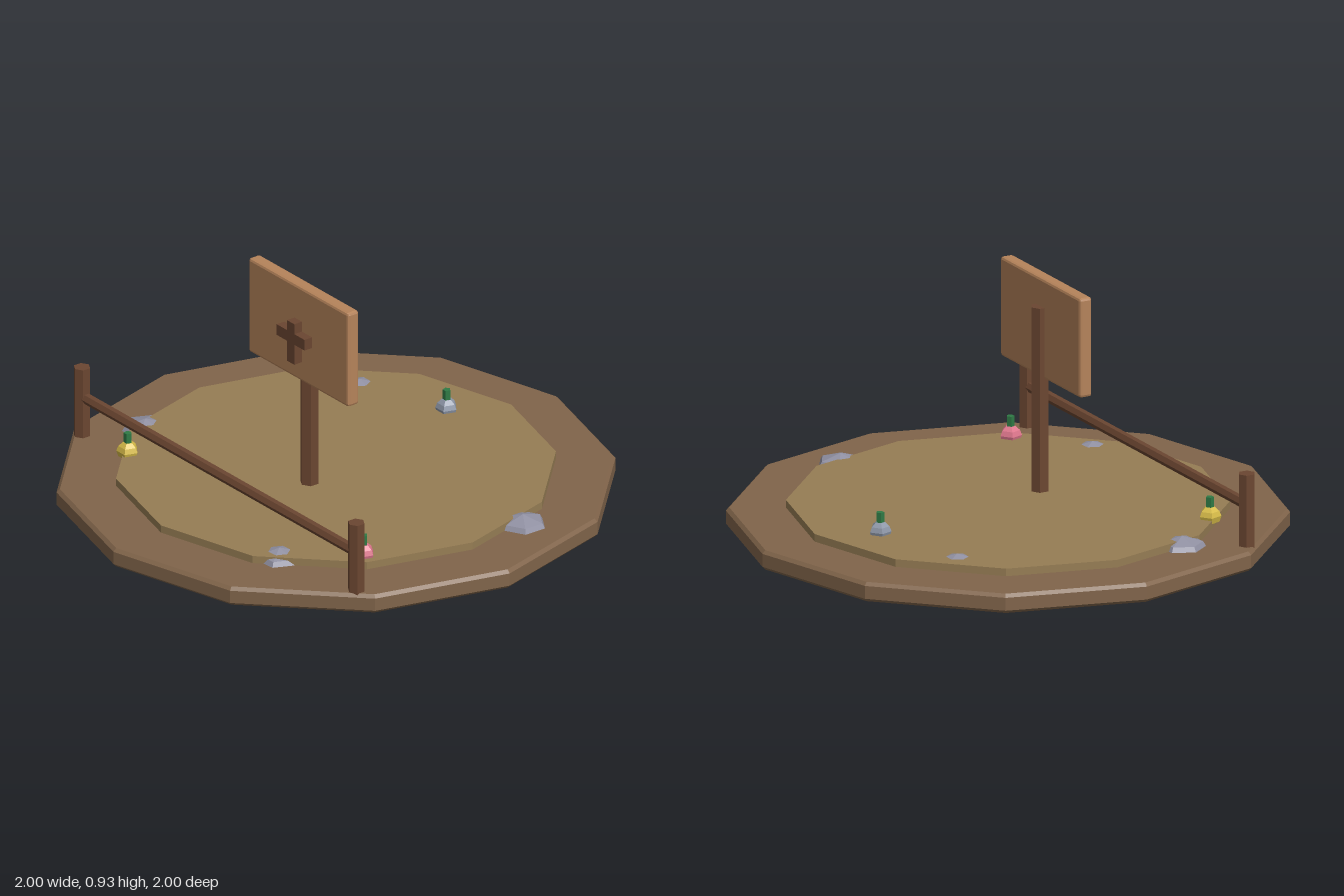
import * as THREE from 'three';
import { RoundedBoxGeometry } from 'three/addons/geometries/RoundedBoxGeometry.js';

const mat = (name, color) => {
  const m = new THREE.MeshStandardMaterial({ color });
  m.name = name;
  m.flatShading = true;
  return m;
};

export function createModel() {
  const group = new THREE.Group();
  const earth = mat('earth brown', 0x80644a);
  const sand = mat('dry grass', 0x967d54);
  const darkWood = mat('dark wood', 0x6b4631);
  const boardWood = mat('board wood', 0xb5835a);
  const stone = mat('stone grey', 0x9090a2);
  const silver = mat('silver bulb', 0x8e97a8);
  const yellow = mat('yellow bulb', 0xd6bb48);
  const pink = mat('pink bulb', 0xdd768c);
  const green = mat('stem green', 0x2f7a45);

  const add = (name, geometry, material, x = 0, y = 0, z = 0, parent = group) => {
    const mesh = new THREE.Mesh(geometry, material);
    mesh.name = name;
    mesh.position.set(x, y, z);
    parent.add(mesh);
    return mesh;
  };
  const lathe = (points, sides) =>
    new THREE.LatheGeometry(points.map(([r, y]) => new THREE.Vector2(r, y)), sides);

  // Twelve-sided ground with chamfered rim, and a raised inner plot
  add('groundSlab', lathe([[0, 0.04], [0.988, 0.04], [1, 0.052], [1, 0.1], [0.988, 0.112], [0, 0.112]], 12), earth);
  add('innerPlot', new THREE.CylinderGeometry(0.787, 0.787, 0.04, 12), sand, 0, 0.12, 0);

  // Sign: post, board and raised cross
  add('signPost', new THREE.CylinderGeometry(0.035, 0.035, 0.7, 6), darkWood, 0.05, 0.475, 0.158);
  add('signBoard', new RoundedBoxGeometry(0.575, 0.37, 0.05, 1, 0.01), boardWood, 0.05, 0.745, 0.184);
  const a = 0.021, b = 0.08;
  const cross = new THREE.Shape([
    [-a, -0.1], [a, -0.1], [a, -a], [b, -a], [b, a], [a, a],
    [a, 0.06], [-a, 0.06], [-a, a], [-b, a], [-b, -a], [-a, -a],
  ].map(([x, y]) => new THREE.Vector2(x, y)));
  add('signCross', new THREE.ExtrudeGeometry(cross, { depth: 0.045, bevelEnabled: false }), darkWood, 0.05, 0.737, 0.198);

  // Front fence
  for (const side of [-1, 1]) {
    add('fencePost', new THREE.CylinderGeometry(0.031, 0.031, 0.28, 6), darkWood, side * 0.79, 0.24, 0.525);
  }
  const rail = add('fenceRail', new THREE.CylinderGeometry(0.02, 0.02, 1.58, 6), darkWood, 0, 0.264, 0.525);
  rail.rotation.z = Math.PI / 2;

  // Five-sided bulbs with green stems
  const bulbGeo = lathe([[0, -0.01], [0.034, -0.01], [0.041, 0.012], [0.034, 0.03], [0.018, 0.045], [0, 0.045]], 5);
  const stemGeo = new THREE.CylinderGeometry(0.015, 0.015, 0.05, 5);
  for (const [x, z, material] of [[-0.108, -0.582, silver], [-0.53, 0.522, yellow], [0.63, 0.367, pink]]) {
    const plant = new THREE.Group();
    plant.name = 'bulbPlant';
    plant.position.set(x, 0.138, z);
    plant.rotation.y = Math.PI;
    add('bulb', bulbGeo, material, 0, 0, 0, plant);
    add('stem', stemGeo, green, 0, 0.057, 0, plant);
    group.add(plant);
  }

  // Flattened stones passing through the ground
  const stoneGeo = new THREE.SphereGeometry(1, 6, 4).scale(0.106, 0.076, 0.106);
  for (const [x, z, turn] of [[-0.475, -0.475, 0], [0.737, -0.265, 0.5], [-0.69, 0.318, 0.1], [0.417, 0.58, 0.1]]) {
    add('stone', stoneGeo, stone, x, 0.076, z).rotation.y = turn;
  }
  return group;
}
